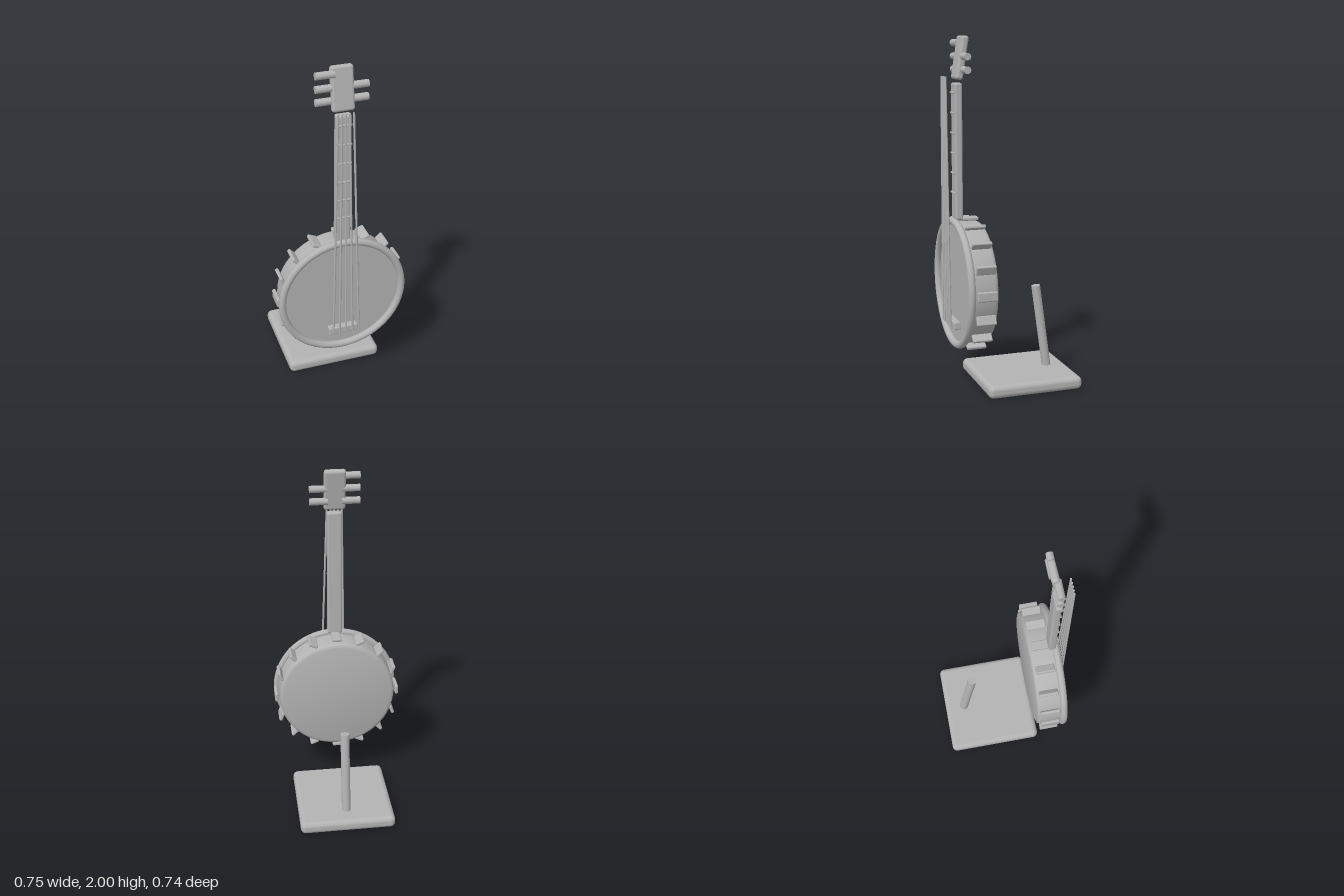
import * as THREE from 'three';
import { toCreasedNormals } from 'three/addons/utils/BufferGeometryUtils.js';
import { RoundedBoxGeometry } from 'three/addons/geometries/RoundedBoxGeometry.js';

export function createModel() {
  const group = new THREE.Group();
  const grey = new THREE.MeshStandardMaterial({ color: 0xb3b3b3 });
  grey.name = 'plain grey';

  const add = (name, geometry, x = 0, y = 0, z = 0) => {
    const mesh = new THREE.Mesh(geometry, grey);
    mesh.name = name;
    mesh.position.set(x, y, z);
    group.add(mesh);
    return mesh;
  };
  const box = (name, w, h, d, r, x, y, z) =>
    add(name, new RoundedBoxGeometry(w, h, d, 3, r), x, y, z);
  // Round bar between two points
  const bar = (name, from, to, r, sides = 16) => {
    const a = new THREE.Vector3(...from), b = new THREE.Vector3(...to);
    const dir = b.clone().sub(a);
    const mesh = add(name, new THREE.CylinderGeometry(r, r, dir.length(), sides));
    mesh.position.copy(a).add(b).multiplyScalar(0.5);
    mesh.quaternion.setFromUnitVectors(new THREE.Vector3(0, 1, 0), dir.normalize());
    return mesh;
  };

  // Stand
  box('standBase', 0.56, 0.075, 0.56, 0.03, 0, 0.0375, -0.09);
  bar('standRod', [0, 0.05, -0.254], [0, 0.563, -0.182], 0.026, 24);

  // Drum body with rounded back edge, axis along z
  const drumY = 0.62;
  const profile = [[0, 0.155], [0.322, 0.155], [0.335, 0.159], [0.343, 0.167],
    [0.347, 0.18], [0.347, 0.3], [0, 0.3]].map(p => new THREE.Vector2(...p));
  const body = toCreasedNormals(new THREE.LatheGeometry(profile, 64), 0.7);
  add('drumBody', body, 0, drumY, 0).rotation.x = Math.PI / 2;
  add('rim', new THREE.TorusGeometry(0.353, 0.021, 12, 72), 0, drumY, 0.312);

  // Tension brackets, counter-rotated so the diagonal ones stand out as fins
  for (let i = 0; i < 16; i++) {
    const a = i * Math.PI / 8;
    box('bracket', 0.02, 0.054, 0.112, 0.007,
      0.365 * Math.cos(a), drumY + 0.365 * Math.sin(a), 0.228).rotation.z = -a;
  }

  // Neck and frets
  box('neck', 0.086, 0.76, 0.044, 0.012, 0, 1.365, 0.288);
  for (let i = 0; i < 6; i++) {
    const y = 1.69 - i * 0.111;
    bar('fret', [-0.042, y, 0.31], [0.042, y, 0.31], 0.006, 8);
  }

  // Headstock and tuning pegs
  box('headstock', 0.122, 0.24, 0.04, 0.015, 0, 1.88, 0.268).rotation.x = -0.16;
  for (const [side, y] of [[-1, 1.96], [-1, 1.887], [-1, 1.815], [1, 1.887], [1, 1.815]]) {
    bar('tuningPeg', [side * 0.04, y, 0.265], [side * 0.142, y, 0.265], 0.02);
  }

  // Bridge and strings
  box('bridge', 0.172, 0.044, 0.04, 0.007, 0, 0.387, 0.318);
  for (let i = 0; i < 5; i++) {
    bar('string', [-0.068 + i * 0.038, 0.39, 0.359], [-0.051 + i * 0.021, 1.78, 0.359], 0.006, 8);
  }

  return group;
}
